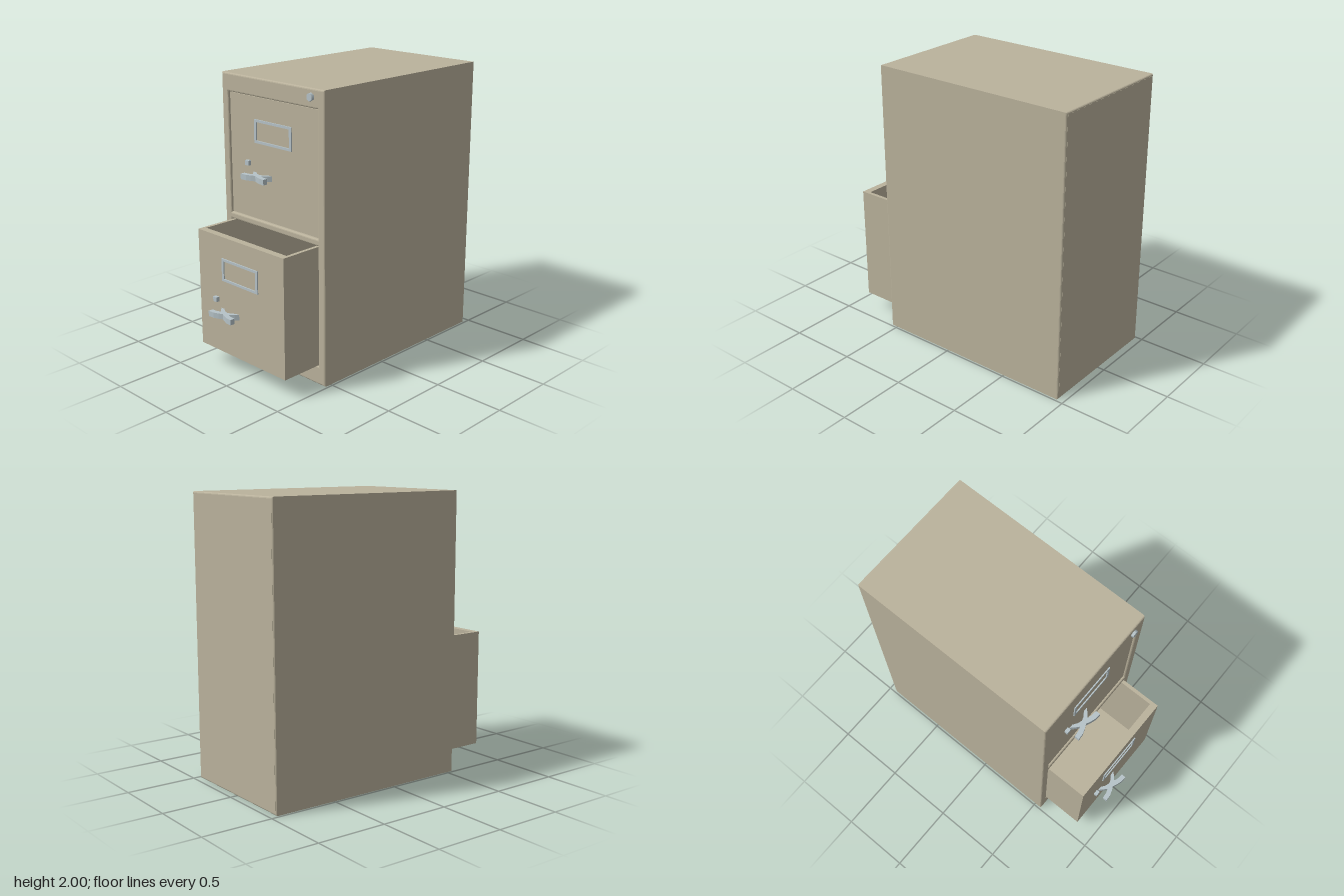
import * as THREE from 'three';

const paint = new THREE.MeshStandardMaterial({ color: 0xbab29c });
const metal = new THREE.MeshStandardMaterial({ color: 0xb6c3c8 });

function add(parent, name, geometry, material, x = 0, y = 0, z = 0) {
  const mesh = new THREE.Mesh(geometry, material);
  mesh.name = name;
  mesh.position.set(x, y, z);
  parent.add(mesh);
  return mesh;
}

function rect(Type, x0, y0, x1, y1) {
  return new Type([[x0, y0], [x1, y0], [x1, y1], [x0, y1]].map(p => new THREE.Vector2(...p)));
}

// Plan outline (x, z) extruded vertically, centred on y = 0
function planExtrude(shape, height) {
  return new THREE.ExtrudeGeometry(shape, { depth: height, bevelEnabled: false })
    .rotateX(Math.PI / 2).translate(0, height / 2, 0);
}

// Crossed bow pull: front grip arms and two splayed feet
function handleShape() {
  const half = [[0, 0.032], [0.03, 0.022], [0.062, 0], [0.09, 0], [0.07, 0.022], [0.04, 0.048], [0.07, 0.058], [0.112, 0.062], [0.112, 0.096], [0.065, 0.092], [0.03, 0.08], [0, 0.066]];
  const mirrored = half.slice(1, -1).reverse().map(([x, z]) => [-x, z]);
  return new THREE.Shape([...half, ...mirrored].map(p => new THREE.Vector2(...p)));
}

// Open-topped drawer; origin at the centre of its front face
function createDrawer(name) {
  const g = new THREE.Group();
  g.name = name;
  const h = 0.838, w = 0.42, depth = 1.25;
  const walls = rect(THREE.Shape, -w, -depth, w, 0);
  walls.holes.push(rect(THREE.Path, -w + 0.025, -depth + 0.025, w - 0.025, -0.05));
  add(g, 'drawerWalls', planExtrude(walls, h), paint);
  add(g, 'drawerFloor', new THREE.BoxGeometry(2 * w - 0.02, 0.025, depth - 0.02), paint, 0, -h / 2 + 0.014, -depth / 2);

  const frame = rect(THREE.Shape, -0.177, -0.08, 0.177, 0.08);
  frame.holes.push(rect(THREE.Path, -0.157, -0.063, 0.157, 0.063));
  add(g, 'labelFrame', new THREE.ExtrudeGeometry(frame, { depth: 0.008, bevelEnabled: false }), metal, 0, 0.19, 0);
  add(g, 'latchButton', new THREE.BoxGeometry(0.034, 0.034, 0.025), metal, -0.24, -0.037, 0.0125);
  add(g, 'handle', planExtrude(handleShape(), 0.038), metal, -0.11, -0.113, 0);
  return g;
}

export function createModel() {
  const model = new THREE.Group();
  model.name = 'filingCabinet';

  // Cabinet shell with two drawer openings and softened edges
  const b = 0.012, back = -0.955, front = 0.555;
  const shell = rect(THREE.Shape, -0.485, 0, 0.485, 2);
  for (const [y0, y1] of [[0.133, 0.979], [1.027, 1.873]]) {
    shell.holes.push(rect(THREE.Path, -0.423, y0, 0.423, y1));
  }
  add(model, 'cabinetShell', new THREE.ExtrudeGeometry(shell, {
    depth: front - back - 2 * b, bevelThickness: b, bevelSize: b, bevelOffset: -b, bevelSegments: 3,
  }), paint, 0, 0, back + b);
  add(model, 'backPanel', new THREE.BoxGeometry(0.946, 1.976, 0.02), paint, 0, 1, back + 0.009);

  // Closed upper drawer and partly open lower drawer
  const upper = createDrawer('upperDrawer');
  upper.position.set(0, 1.45, 0.54);
  const lower = createDrawer('lowerDrawer');
  lower.position.set(0, 0.556, 0.855);
  model.add(upper, lower);

  // Lock in the top corner
  add(model, 'lock', new THREE.CylinderGeometry(0.027, 0.027, 0.025, 6).rotateX(Math.PI / 2), metal, 0.37, 1.945, front + 0.006);

  return model;
}
